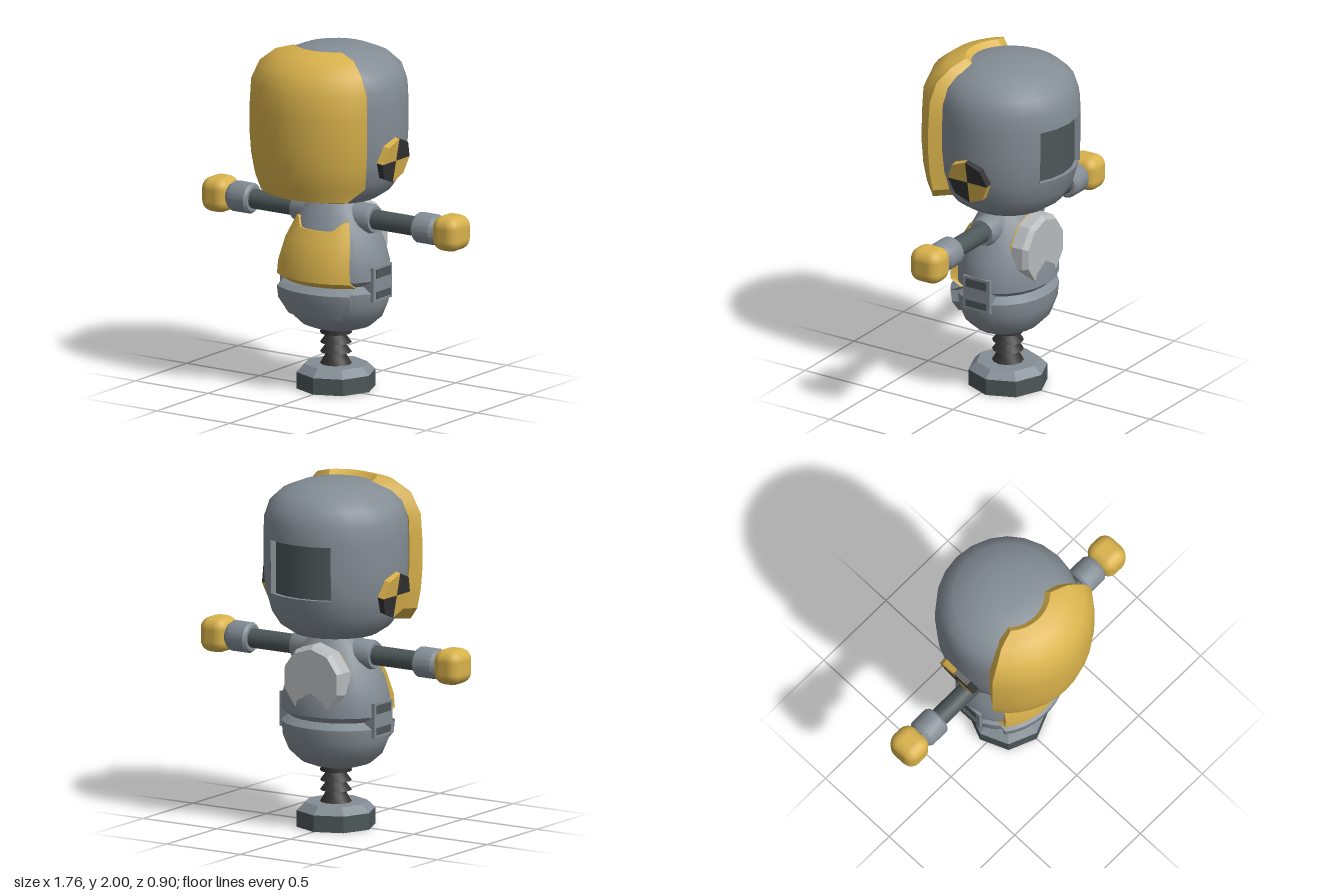
import * as THREE from 'three';
import { toCreasedNormals } from 'three/addons/utils/BufferGeometryUtils.js';
import { RoundedBoxGeometry } from 'three/addons/geometries/RoundedBoxGeometry.js';

const CREASE = 0.62;

function material(name, color, side = THREE.FrontSide) {
  const m = new THREE.MeshStandardMaterial({ color, side });
  m.name = name;
  return m;
}

// Turned part from [radius, height] points listed bottom to top
function lathe(profile, segments, start = 0, length = Math.PI * 2) {
  return new THREE.LatheGeometry(profile.map(p => new THREE.Vector2(...p)), segments, start, length);
}

// Curved plate wrapped round the front; rows are [radius, y, half angle, rim radius, rim y]
function shell(rows, depth, dip = () => 0) {
  const n = 12, top = rows.length - 1, pos = [], index = [];
  for (const inner of [0, 1]) {
    rows.forEach(([r, y, a, ri, yi], j) => {
      for (let i = 0; i <= n; i++) {
        const u = (i * 2) / n - 1, d = j === top ? dip(u) : 0;
        const phi = u * (a + inner * 0.07), rad = (inner ? ri : r) + d * 0.5;
        pos.push(rad * Math.sin(phi), (inner ? yi : y) - d, rad * Math.cos(phi) * depth);
      }
    });
  }
  const id = (i, j) => j * (n + 1) + i, offset = rows.length * (n + 1);
  for (let j = 0; j < top; j++) for (let i = 0; i < n; i++) {
    index.push(id(i, j), id(i + 1, j), id(i + 1, j + 1), id(i, j), id(i + 1, j + 1), id(i, j + 1));
  }
  // Rim joining the outer surface to the body behind it
  const loop = [];
  for (let i = 0; i < n; i++) loop.push(id(i, 0));
  for (let j = 0; j < top; j++) loop.push(id(n, j));
  for (let i = n; i > 0; i--) loop.push(id(i, top));
  for (let j = top; j > 0; j--) loop.push(id(0, j));
  loop.forEach((p, k) => {
    const q = loop[(k + 1) % loop.length];
    index.push(p, p + offset, q, q, p + offset, q + offset);
  });
  const g = new THREE.BufferGeometry();
  g.setAttribute('position', new THREE.Float32BufferAttribute(pos, 3));
  g.setIndex(index);
  return toCreasedNormals(g, CREASE);
}

export function createModel() {
  const grey = material('grey', 0x848d95, THREE.DoubleSide);
  const yellow = material('yellow', 0xd9b24c, THREE.DoubleSide);
  const slate = material('dark slate', 0x4d5759);
  const charcoal = material('charcoal', 0x333333);
  const pale = material('pale grey', 0xb6babc);

  const model = new THREE.Group();
  model.name = 'robot';
  const body = new THREE.Group();
  body.name = 'figure';
  body.position.z = -0.04;
  model.add(body);
  const add = (name, geometry, mat, parent = body) => {
    const m = new THREE.Mesh(geometry, mat);
    m.name = name;
    parent.add(m);
    return m;
  };

  // Head, with an opening cut in the back
  const head = lathe([[0, 1.11], [0.24, 1.12], [0.315, 1.17], [0.367, 1.25], [0.4, 1.37], [0.41, 1.52],
    [0.41, 1.68], [0.405, 1.78], [0.375, 1.87], [0.31, 1.93], [0.2, 1.975], [0.1, 1.99], [0, 1.992]], 24);
  const p = head.attributes.position, kept = [];
  for (let t = 0; t < head.index.count; t += 3) {
    const tri = [0, 1, 2].map(k => head.index.getX(t + k));
    const [x, y, z] = ['getX', 'getY', 'getZ'].map(f => tri.reduce((s, v) => s + p[f](v), 0) / 3);
    const inWindow = y > 1.37 && y < 1.68 && Math.abs(Math.atan2(x, -z)) < Math.PI / 6;
    if (!inWindow) kept.push(...tri);
  }
  head.setIndex(kept);
  add('head', toCreasedNormals(head, CREASE), grey);

  // Recessed panel and its surround
  const arc = [4, Math.PI * 5 / 6, Math.PI / 3];
  add('backPanel', lathe([[0.375, 1.37], [0.375, 1.68]], ...arc), slate);
  add('panelSill', lathe([[0.4, 1.37], [0.375, 1.37]], ...arc), grey);
  add('panelLintel', lathe([[0.375, 1.68], [0.41, 1.68]], ...arc), grey);
  for (const s of [-1, 1]) {
    const jamb = new THREE.PlaneGeometry(0.032, 0.31);
    jamb.translate(0.391, 1.525, 0).rotateY(Math.PI / 2 + s * Math.PI / 6);
    add('panelJamb', jamb, grey);
  }

  // Face visor
  add('visor', shell([
    [0.43, 1.17, 0.76, 0.3, 1.18], [0.458, 1.25, 0.98, 0.36, 1.25], [0.478, 1.36, 0.98, 0.4, 1.36],
    [0.488, 1.5, 0.98, 0.415, 1.5], [0.486, 1.65, 0.98, 0.415, 1.65], [0.478, 1.79, 0.98, 0.41, 1.78],
    [0.43, 1.9, 0.95, 0.365, 1.88], [0.34, 1.97, 0.91, 0.28, 1.94], [0.24, 2.0, 0.74, 0.2, 1.965],
  ], 1), yellow);

  // Quartered ear discs, same layout turned half way round
  for (const turn of [0, Math.PI]) {
    const side = new THREE.Group();
    side.name = 'ear';
    side.rotation.y = turn;
    body.add(side);
    const disc = new THREE.Group();
    disc.name = 'earDisc';
    disc.position.set(0.392, 1.375, 0);
    disc.rotation.z = -Math.PI / 2 - 0.18;
    side.add(disc);
    for (let q = 0; q < 4; q++) {
      const wedge = new THREE.CylinderGeometry(0.132, 0.135, 0.045, 2, 1, false, q * Math.PI / 2, Math.PI / 2);
      add('earQuarter', toCreasedNormals(wedge, CREASE), q % 2 ? yellow : charcoal, disc);
    }
  }

  // Torso with a waist groove, narrower front to back
  const DEPTH = 0.83;
  const torso = lathe([[0, 0.35], [0.14, 0.352], [0.21, 0.375], [0.28, 0.435], [0.317, 0.52], [0.325, 0.6],
    [0.275, 0.635], [0.325, 0.67], [0.322, 0.75], [0.295, 0.85], [0.245, 0.96], [0.19, 1.05],
    [0.14, 1.1], [0, 1.115]], 20);
  torso.scale(1, 1, DEPTH);
  add('torso', toCreasedNormals(torso, CREASE), grey);

  // Chest and belly plates
  add('chestPlate', shell([
    [0.31, 0.635, 0.92, 0.25, 0.635], [0.367, 0.67, 0.75, 0.3, 0.67], [0.36, 0.75, 0.74, 0.295, 0.75],
    [0.31, 0.88, 0.8, 0.25, 0.88], [0.235, 1.0, 0.88, 0.175, 1.0],
  ], DEPTH, u => 0.05 * THREE.MathUtils.clamp((0.78 - Math.abs(u)) / 0.3, 0, 1)), yellow);
  add('bellyPlate', shell([
    [0.315, 0.45, 0.58, 0.26, 0.46], [0.357, 0.53, 0.77, 0.295, 0.53],
    [0.367, 0.6, 0.75, 0.3, 0.6], [0.31, 0.635, 0.92, 0.25, 0.635],
  ], DEPTH), grey);

  // Slotted hip brackets
  for (const s of [-1, 1]) {
    add('hipBracket', new THREE.BoxGeometry(0.07, 0.2, 0.18), grey).position.set(s * 0.288, 0.65, 0);
    for (const [y, h] of [[0.712, 0.05], [0.588, 0.04]]) {
      add('hipSlot', new THREE.BoxGeometry(0.008, h, 0.14), slate).position.set(s * 0.324, y, 0);
    }
  }

  // Arms
  for (const turn of [0, Math.PI]) {
    const arm = new THREE.Group();
    arm.name = 'arm';
    arm.position.y = 1.01;
    arm.rotation.y = turn;
    body.add(arm);
    const along = (name, profile, mat) =>
      add(name, toCreasedNormals(lathe(profile, 16).rotateZ(-Math.PI / 2), CREASE), mat, arm);
    along('shoulder', [[0.085, 0.1], [0.085, 0.25], [0.075, 0.27], [0, 0.27]], grey);
    along('armRod', [[0.056, 0.2], [0.056, 0.6]], slate);
    along('wrist', [[0, 0.565], [0.075, 0.565], [0.088, 0.58], [0.088, 0.69], [0.07, 0.715], [0, 0.715]], grey);
    add('fist', new RoundedBoxGeometry(0.175, 0.2, 0.2, 3, 0.065), yellow, arm).position.x = 0.795;
  }

  // Back disc
  const pack = new THREE.Group();
  pack.name = 'backPack';
  pack.position.set(0, 0.87, -0.155);
  pack.rotation.x = -Math.PI / 2;
  body.add(pack);
  const drum = lathe([[0, 0], [0.21, 0], [0.205, 0.07], [0.185, 0.1], [0, 0.1]], 10);
  add('packDrum', drum.toNonIndexed(), pale, pack).geometry.computeVertexNormals();
  add('packLining', new THREE.CylinderGeometry(0.205, 0.205, 0.009, 10), yellow, pack).position.y = -0.006;

  // Spring leg
  const spring = [[0.09, 0.14]];
  for (let i = 0; i < 3; i++) spring.push([0.055, 0.2 + i * 0.055], [0.09, 0.207 + i * 0.055]);
  spring.push([0.085, 0.365]);
  add('springLeg', toCreasedNormals(lathe(spring, 12), CREASE), charcoal);

  // Eight-sided foot
  const foot = lathe([[0, 0], [0.226, 0], [0.226, 0.095]], 8);
  add('footBase', toCreasedNormals(foot, CREASE), slate);
  const cap = lathe([[0.226, 0.095], [0.18, 0.14], [0, 0.14]], 8);
  add('footCap', toCreasedNormals(cap, 0.3), grey);

  return model;
}
